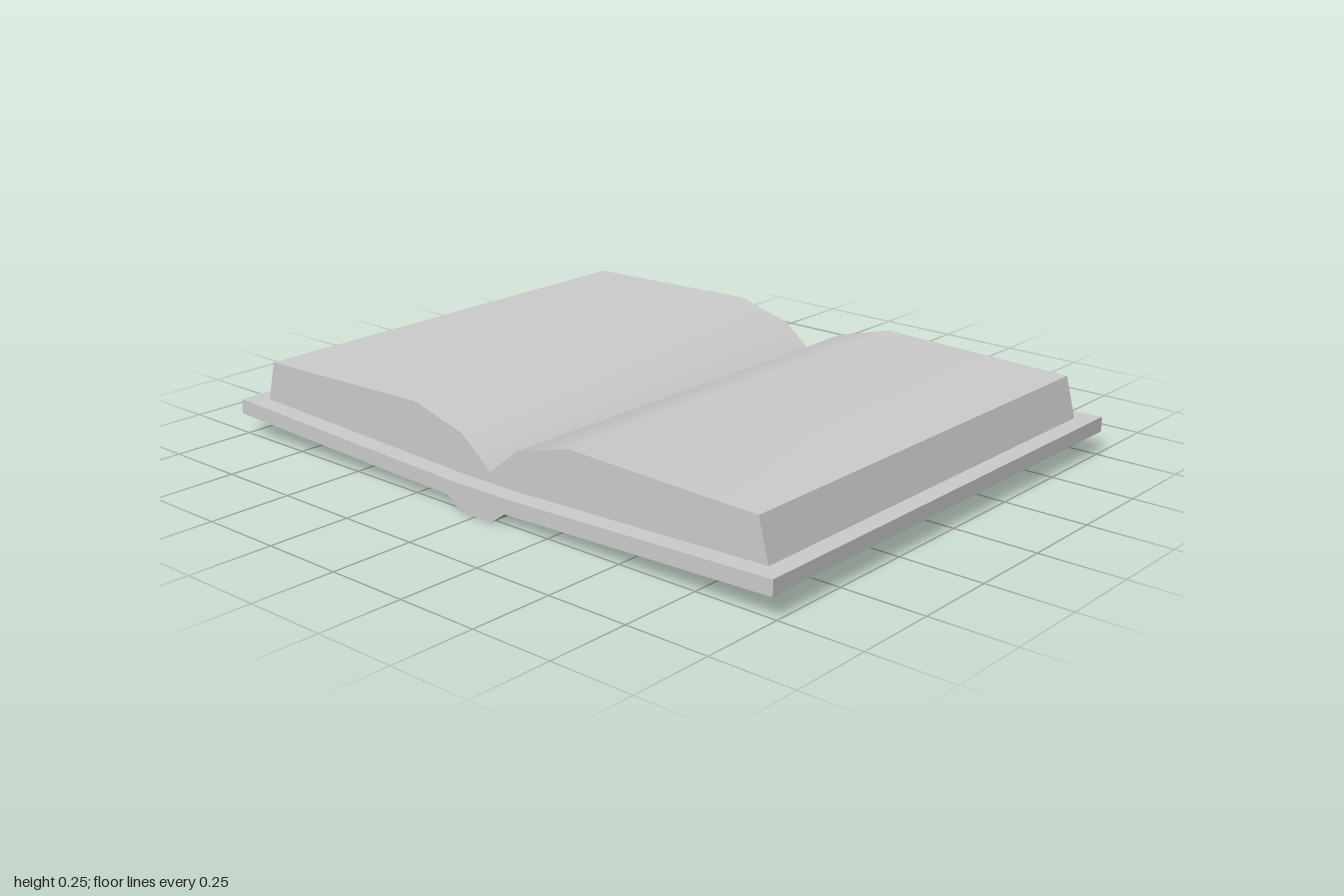
import * as THREE from 'three';
import { toCreasedNormals } from 'three/addons/utils/BufferGeometryUtils.js';

const grey = new THREE.MeshStandardMaterial({ color: 0xcccccc });
grey.name = 'plain grey';

// Mirrors the right half of a profile (listed from centre outwards) to the left
const mirror = (half) => [
  ...half.map(([x, y]) => [-x, y]).reverse(),
  ...half.filter(([x]) => x !== 0),
];

// Extrudes a cross-section along z, keeping shallow bends smooth
function slab(name, topHalf, bottomHalf, depth) {
  const outline = [...mirror(bottomHalf), ...mirror(topHalf).reverse()];
  const shape = new THREE.Shape(outline.map(([x, y]) => new THREE.Vector2(x, y)));
  const geometry = new THREE.ExtrudeGeometry(shape, { depth, bevelEnabled: false });
  geometry.translate(0, 0, -depth / 2);
  const mesh = new THREE.Mesh(toCreasedNormals(geometry, 0.8), grey);
  mesh.name = name;
  return mesh;
}

export function createModel() {
  const book = new THREE.Group();
  book.name = 'openBook';

  // Cover boards, rising slightly outwards, with a raised spine below
  book.add(slab('cover',
    [[0.11, 0.08], [1, 0.11]],
    [[0.06, 0], [0.11, 0.036], [1, 0.065]],
    1.535));

  // Page block with a curved top and a deep centre gutter
  book.add(slab('pages',
    [[0, 0.11], [0.105, 0.195], [0.29, 0.245], [0.91, 0.229]],
    [[0.11, 0.08], [0.942, 0.108]],
    1.42));

  return book;
}
